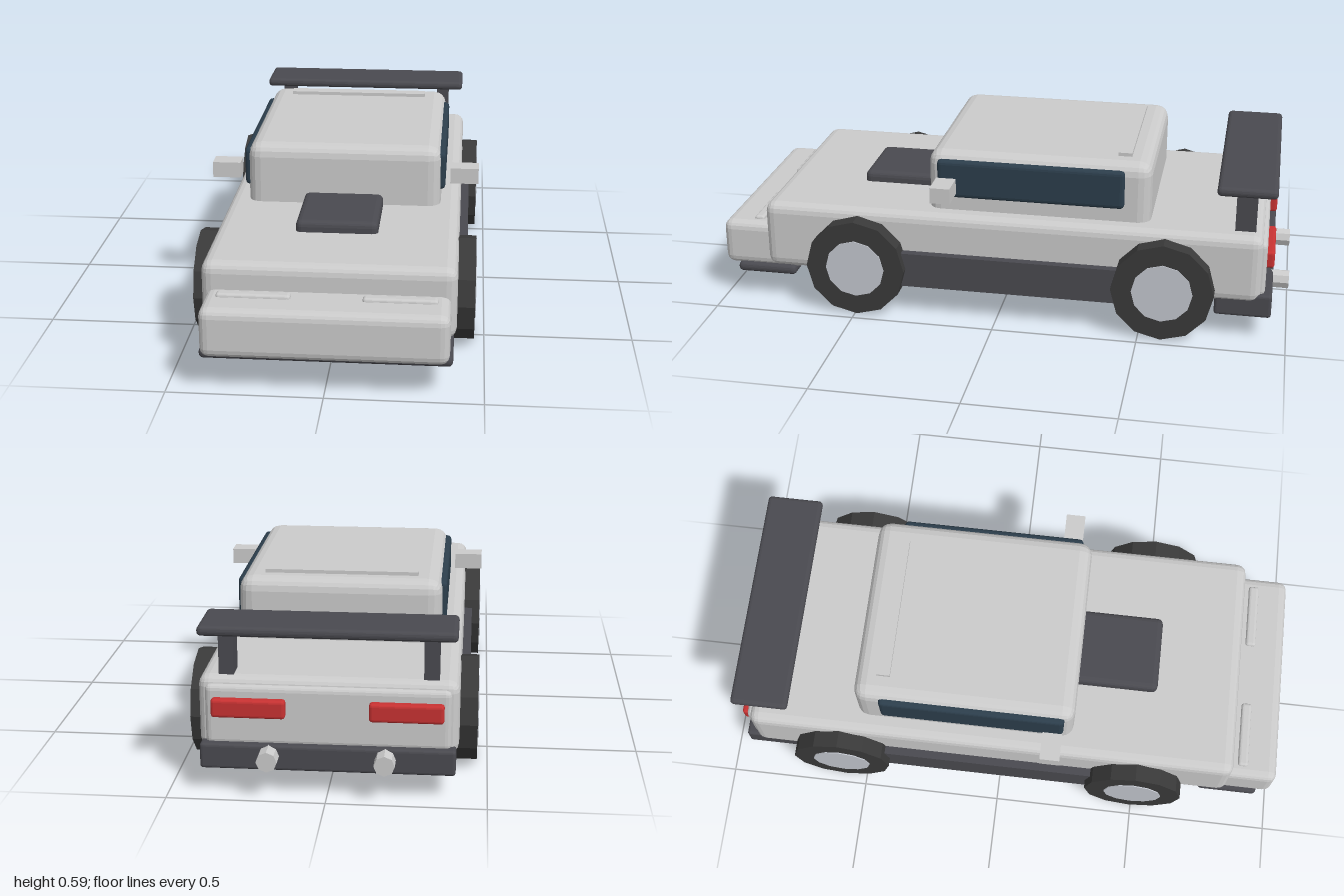
import * as THREE from 'three';
import { RoundedBoxGeometry } from 'three/addons/geometries/RoundedBoxGeometry.js';

const material = (color) => new THREE.MeshStandardMaterial({ color, flatShading: true });

export function createModel() {
  const car = new THREE.Group();
  car.name = 'sportsCar';
  const grey = material(0xcccccc);
  const trim = material(0x4a4a50);
  const rubber = material(0x3a3a3a);
  const glass = material(0x2c3e4c);
  const red = material(0xc83232);
  const metal = material(0xc4c8d0);

  const add = (name, geometry, mat) => {
    const mesh = new THREE.Mesh(geometry, mat);
    mesh.name = name;
    car.add(mesh);
    return mesh;
  };

  // Box given by its [min, max] on each axis, with an optional bevel radius
  const box = (name, mat, [x0, x1], [y0, y1], [z0, z1], bevel = 0) => {
    const size = [x1 - x0, y1 - y0, z1 - z0];
    const geometry = bevel
      ? new RoundedBoxGeometry(...size, 2, bevel)
      : new THREE.BoxGeometry(...size);
    const mesh = add(name, geometry, mat);
    mesh.position.set((x0 + x1) / 2, (y0 + y1) / 2, (z0 + z1) / 2);
    return mesh;
  };

  // The same box on both sides of the car
  const boxPair = (name, mat, [x0, x1], y, z, bevel) => {
    box(name + 'Left', mat, [x0, x1], y, z, bevel);
    box(name + 'Right', mat, [-x1, -x0], y, z, bevel);
  };

  // Bodywork
  box('body', grey, [-0.408, 0.408], [0.13, 0.372], [-0.907, 0.835], 0.035);
  box('nose', grey, [-0.39, 0.39], [0.12, 0.284], [0.7, 1.0], 0.03);
  box('rearPanel', grey, [-0.385, 0.385], [0.15, 0.35], [-0.92, -0.8], 0.02);
  box('cabin', grey, [-0.338, 0.338], [0.3, 0.58], [-0.52, 0.255], 0.045);
  box('roofStrip', grey, [-0.257, 0.257], [0.565, 0.592], [-0.444, -0.397]);
  boxPair('window', glass, [0.3, 0.353], [0.42, 0.556], [-0.43, 0.22], 0.015);
  boxPair('mirror', grey, [0.37, 0.468], [0.445, 0.5], [0.148, 0.217]);
  boxPair('headlight', grey, [0.113, 0.35], [0.26, 0.295], [0.857, 0.894], 0.01);
  boxPair('tailLight', red, [0.13, 0.362], [0.25, 0.31], [-0.945, -0.88], 0.01);

  // Dark trim
  box('hoodScoop', trim, [-0.138, 0.138], [0.33, 0.41], [0.15, 0.54], 0.02);
  box('frontSplitter', trim, [-0.4, 0.4], [0.095, 0.13], [0.735, 0.95], 0.015);
  box('rearDiffuser', trim, [-0.4, 0.4], [0.08, 0.163], [-0.945, -0.752], 0.01);
  boxPair('sideSkirt', trim, [0.36, 0.437], [0.109, 0.233], [-0.56, 0.48]);

  // Rear wing on two posts
  box('wing', trim, [-0.4, 0.4], [0.513, 0.545], [-0.942, -0.742], 0.014);
  boxPair('wingPost', trim, [0.296, 0.344], [0.35, 0.52], [-0.877, -0.807]);

  // Wheels and exhausts
  for (const side of [1, -1]) {
    const label = side > 0 ? 'Left' : 'Right';
    for (const [end, z] of [['front', 0.493], ['rear', -0.578]]) {
      const tire = add(end + 'Tire' + label, new THREE.CylinderGeometry(0.175, 0.175, 0.135, 12), rubber);
      const hub = add(end + 'Hub' + label, new THREE.CylinderGeometry(0.104, 0.104, 0.142, 12), metal);
      for (const part of [tire, hub]) {
        part.rotation.z = Math.PI / 2;
        part.position.set(side * 0.398, 0.175, z);
      }
    }
    const exhaust = add('exhaust' + label, new THREE.CylinderGeometry(0.033, 0.033, 0.12, 8), grey);
    exhaust.rotation.x = Math.PI / 2;
    exhaust.position.set(side * 0.182, 0.13, -0.94);
  }

  return car;
}
